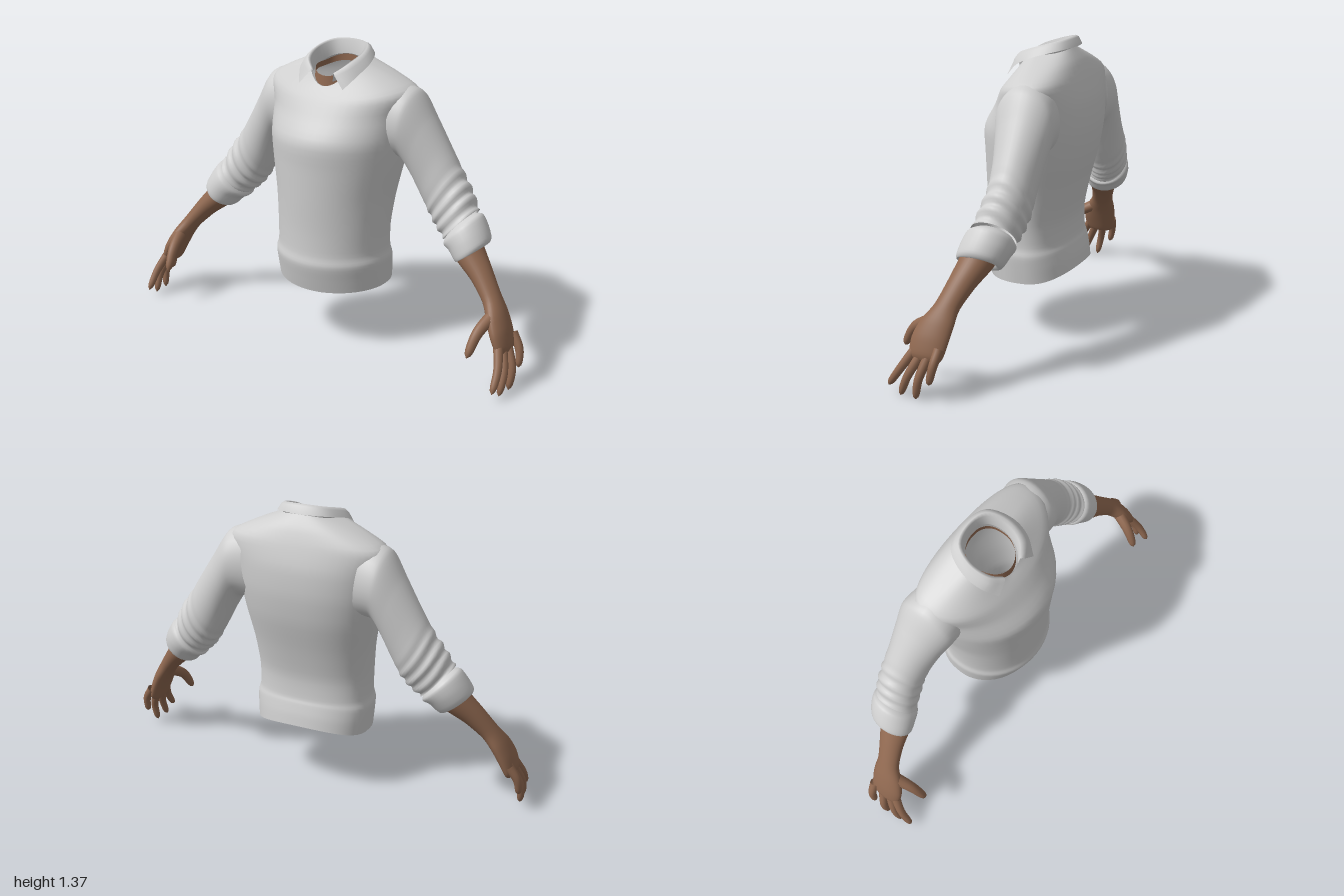
import * as THREE from 'three';

const knit = new THREE.MeshStandardMaterial({ color: 0xcfcfcf, side: THREE.DoubleSide });
knit.name = 'light grey knit';
const skin = new THREE.MeshStandardMaterial({ color: 0x8f6850, side: THREE.DoubleSide });
skin.name = 'brown skin';

// Skins rows of points; wrapped rows share their seam for smooth normals
function loft(rows, wrap = true) {
  const n = rows[0].length, index = [];
  for (let i = 0; i < rows.length - 1; i++) {
    for (let j = 0; j < (wrap ? n : n - 1); j++) {
      const a = i * n + j, b = i * n + (j + 1) % n;
      index.push(a, b, a + n, b, b + n, a + n);
    }
  }
  const geo = new THREE.BufferGeometry().setFromPoints(rows.flat());
  geo.setIndex(index);
  geo.computeVertexNormals();
  return geo;
}

// Smoothly resamples a list of equal-length number rows
function resample(keys, steps) {
  const out = [], last = keys.length - 1;
  for (let k = 0; k <= last * steps; k++) {
    const i = Math.min(Math.floor(k / steps), last - 1), t = k / steps - i;
    const at = (d) => keys[Math.max(0, Math.min(last, i + d))];
    out.push(keys[i].map((p, c) => {
      const q = at(1)[c], m0 = (q - at(-1)[c]) * 0.4, m1 = (at(2)[c] - p) * 0.4;
      const t2 = t * t, t3 = t2 * t;
      return (2 * t3 - 3 * t2 + 1) * p + (t3 - 2 * t2 + t) * m0 + (3 * t2 - 2 * t3) * q + (t3 - t2) * m1;
    }));
  }
  return out;
}

// Body ring: heights at front, side, back; half width; depths at front, side, back
function bodyRing([yf, ys, yb, w, zf, zs, zb], n = 48) {
  return Array.from({ length: n }, (_, j) => {
    const a = (j / n) * Math.PI * 2, s = Math.sin(a), c = Math.cos(a), front = c > 0;
    const k = Math.pow(Math.abs(c), front ? 1 : 0.75);
    const x = w * Math.sign(s) * Math.pow(Math.abs(s), front ? 1 : 0.9);
    return new THREE.Vector3(x, ys + ((front ? yf : yb) - ys) * c * c, zs + ((front ? zf : zb) - zs) * k);
  });
}

// Limb ring: outer edge x, y; inner edge x, y; front z, back z
function limbRing([ox, oy, ix, iy, zf, zb], fold = () => 0, n = 32) {
  return Array.from({ length: n }, (_, j) => {
    const a = (j / n) * Math.PI * 2, r = 1 + fold(a), c = Math.cos(a) * r / 2, s = Math.sin(a) * r / 2;
    return new THREE.Vector3((ox + ix) / 2 + (ox - ix) * c, (oy + iy) / 2 + (oy - iy) * c, (zf + zb) / 2 + (zf - zb) * s);
  });
}

// Finger: tapered tube with a rounded tip
function finger(points, r0, r1) {
  const curve = new THREE.CatmullRomCurve3(points.map((p) => new THREE.Vector3(...p)));
  const n = 14, { normals, binormals } = curve.computeFrenetFrames(n);
  const rows = [];
  for (let i = 0; i <= n; i++) {
    const t = i / n, tip = Math.max(0, (t - 0.8) / 0.2);
    const r = (r0 + (r1 - r0) * t) * Math.sqrt(Math.max(0.0001, 1 - tip * tip));
    rows.push(Array.from({ length: 12 }, (_, j) => {
      const a = (j / 12) * Math.PI * 2;
      return curve.getPointAt(t).addScaledVector(normals[i], r * Math.cos(a)).addScaledVector(binormals[i], r * Math.sin(a));
    }));
  }
  return loft(rows);
}

function mirrored(geo) {
  const g = geo.clone().scale(-1, 1, 1), ix = g.index.array;
  for (let i = 0; i < ix.length; i += 3) [ix[i], ix[i + 1]] = [ix[i + 1], ix[i]];
  g.computeVertexNormals();
  return g;
}

export function createModel() {
  const model = new THREE.Group();
  model.name = 'sweaterTorso';
  const add = (name, geo, mat) => {
    const mesh = new THREE.Mesh(geo, mat);
    mesh.name = name;
    model.add(mesh);
  };
  const addPair = (name, geo, mat) => {
    add('left' + name, geo, mat);
    add('right' + name, mirrored(geo), mat);
  };

  // Sweater body, from hem to neckline
  const body = resample([
    [0.27, 0.285, 0.33, 0.272, 0.22, 0, -0.21],
    [0.33, 0.35, 0.38, 0.277, 0.235, 0, -0.2],
    [0.4, 0.41, 0.43, 0.28, 0.25, 0, -0.185],
    [0.45, 0.455, 0.46, 0.27, 0.241, 0, -0.175],
    [0.56, 0.56, 0.56, 0.272, 0.238, 0, -0.172],
    [0.7, 0.7, 0.7, 0.285, 0.241, -0.02, -0.2],
    [0.85, 0.85, 0.85, 0.312, 0.243, -0.04, -0.238],
    [0.97, 0.97, 0.98, 0.33, 0.243, -0.06, -0.255],
    [1.07, 1.09, 1.1, 0.345, 0.182, -0.08, -0.25],
    [1.14, 1.19, 1.2, 0.37, 0.138, -0.09, -0.222],
    [1.175, 1.25, 1.27, 0.27, 0.112, -0.07, -0.192],
    [1.2, 1.308, 1.325, 0.13, 0.09, -0.04, -0.155],
  ], 4);
  add('sweaterBody', loft(body.map((r) => bodyRing(r))), knit);

  // Sleeves, with soft folds above the rolled cuff
  const sleeve = resample([
    [0.29, 1.225, 0.25, 0.88, 0.05, -0.215],
    [0.38, 1.197, 0.325, 0.885, 0.05, -0.225],
    [0.455, 1.085, 0.37, 0.82, 0.025, -0.215],
    [0.53, 0.965, 0.415, 0.73, 0.005, -0.205],
    [0.595, 0.86, 0.46, 0.65, 0, -0.2],
    [0.65, 0.78, 0.505, 0.595, 0.01, -0.19],
    [0.69, 0.705, 0.555, 0.555, 0.025, -0.175],
  ], 8);
  const folded = sleeve.map((r, i) => {
    const t = i / (sleeve.length - 1), amount = 0.05 * THREE.MathUtils.smoothstep(t, 0.55, 0.75);
    return limbRing(r, (a) => amount * Math.sin(t * 58 + 1.3 * Math.sin(a) + 0.8 * Math.cos(2 * a)));
  });
  addPair('Sleeve', loft(folded), knit);
  const cuff = resample([
    [0.675, 0.69, 0.565, 0.565, 0.015, -0.16],
    [0.712, 0.69, 0.558, 0.535, 0.04, -0.178],
    [0.745, 0.645, 0.59, 0.52, 0.052, -0.17],
    [0.768, 0.6, 0.62, 0.488, 0.058, -0.152],
    [0.764, 0.575, 0.637, 0.48, 0.055, -0.135],
    [0.74, 0.575, 0.647, 0.502, 0.046, -0.112],
    [0.715, 0.61, 0.625, 0.54, 0.03, -0.11],
  ], 4);
  addPair('Cuff', loft(cuff.map((r) => limbRing(r))), knit);

  // Forearm flowing into the palm
  const arm = resample([
    [0.705, 0.64, 0.59, 0.55, 0.035, -0.115],
    [0.742, 0.573, 0.64, 0.49, 0.048, -0.105],
    [0.805, 0.49, 0.73, 0.425, 0.063, -0.06],
    [0.868, 0.4, 0.805, 0.352, 0.09, -0.022],
    [0.91, 0.335, 0.845, 0.295, 0.135, -0.017],
    [0.942, 0.27, 0.877, 0.235, 0.16, -0.008],
    [0.962, 0.205, 0.905, 0.18, 0.16, 0.005],
    [0.957, 0.172, 0.918, 0.162, 0.14, 0.025],
    [0.94, 0.168, 0.936, 0.166, 0.1, 0.06],
  ], 4);
  addPair('ForearmAndPalm', loft(arm.map((r) => limbRing(r))), skin);

  // Fingers and thumb
  const fingers = {
    Thumb: [[0.875, 0.32, 0.09], [0.85, 0.265, 0.18], [0.834, 0.168, 0.243]],
    IndexFinger: [[0.925, 0.215, 0.13], [0.957, 0.125, 0.19], [0.963, 0.038, 0.25]],
    MiddleFinger: [[0.93, 0.2, 0.1], [0.968, 0.1, 0.152], [0.968, 0.005, 0.19]],
    RingFinger: [[0.935, 0.2, 0.065], [0.978, 0.1, 0.095], [0.975, 0.005, 0.114]],
    LittleFinger: [[0.938, 0.23, 0.018], [0.977, 0.165, 0.028], [0.985, 0.085, 0.045]],
  };
  for (const [name, path] of Object.entries(fingers)) {
    addPair(name, finger(path, name === 'Thumb' ? 0.03 : 0.022, name === 'Thumb' ? 0.017 : 0.015), skin);
  }

  // Folded collar: lines from the front end round the side to the centre back
  const lines = [
    [[0.045, 1.225, 0.085], [0.088, 1.245, 0.04], [0.105, 1.27, -0.04], [0.075, 1.295, -0.11], [0, 1.305, -0.132]],
    [[0.052, 1.262, 0.088], [0.098, 1.305, 0.045], [0.113, 1.338, -0.04], [0.08, 1.36, -0.115], [0, 1.366, -0.138]],
    [[0.058, 1.268, 0.096], [0.11, 1.308, 0.052], [0.126, 1.342, -0.04], [0.09, 1.366, -0.125], [0, 1.373, -0.148]],
    [[0.07, 1.255, 0.104], [0.127, 1.29, 0.06], [0.142, 1.33, -0.04], [0.1, 1.358, -0.137], [0, 1.366, -0.16]],
    [[0.116, 1.203, 0.112], [0.156, 1.262, 0.045], [0.163, 1.3, -0.04], [0.115, 1.328, -0.145], [0, 1.333, -0.177]],
  ].map((half) => {
    const all = [...half, ...half.slice(0, -1).reverse().map(([x, y, z]) => [-x, y, z])];
    return new THREE.CatmullRomCurve3(all.map((p) => new THREE.Vector3(...p))).getPoints(40);
  });
  add('collar', loft(lines.reverse(), false), knit);

  // Thin band of neck skin inside the collar
  const neck = [
    [1.2, 1.25, 1.275, 0.1, 0.085, -0.03, -0.125],
    [1.245, 1.275, 1.305, 0.098, 0.08, -0.03, -0.125],
  ];
  add('neckSkin', loft(neck.map((r) => bodyRing(r))), skin);

  return model;
}
